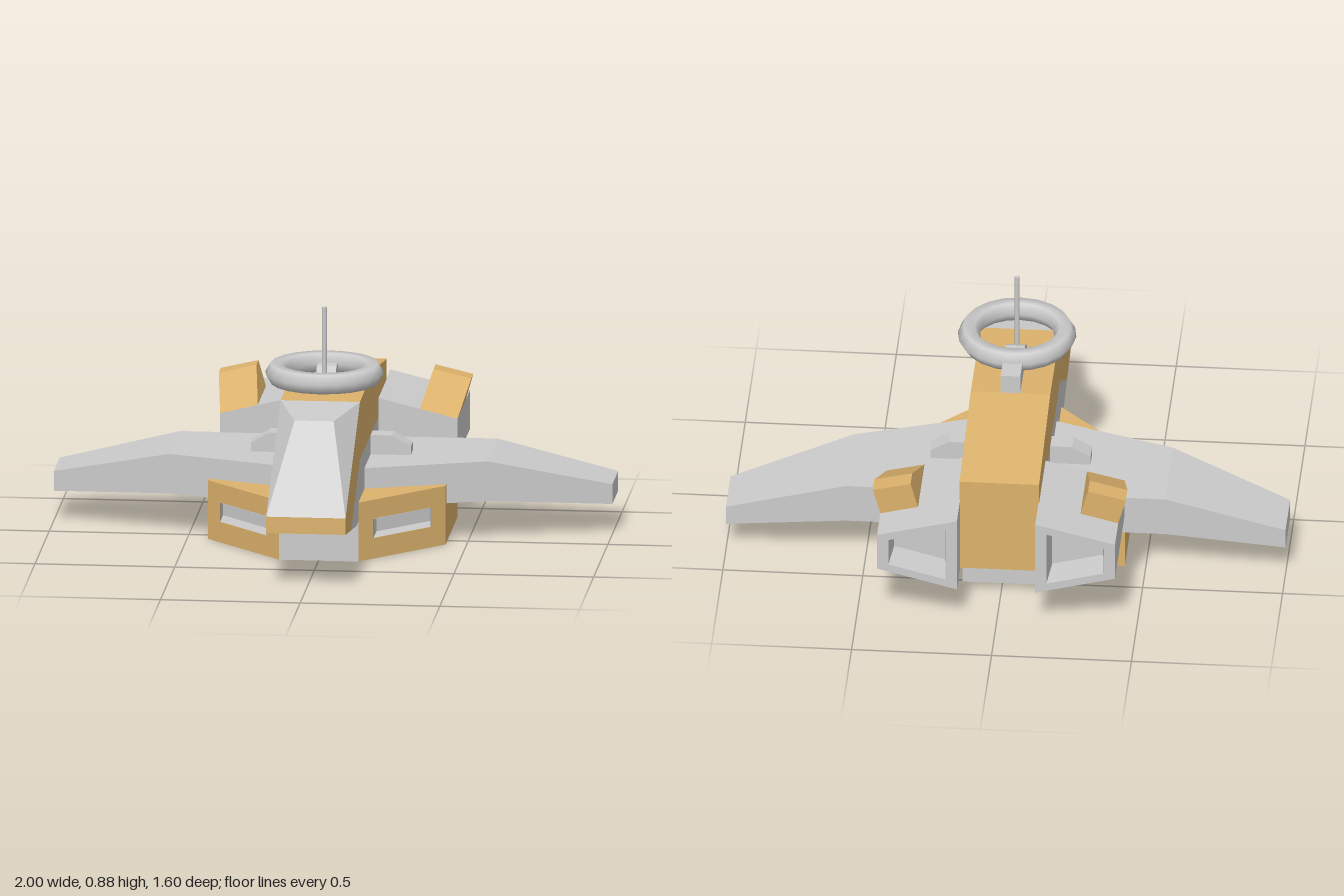
import * as THREE from 'three';

const grey = new THREE.MeshStandardMaterial({ color: 0xcccccc, flatShading: true });
const greyOpen = new THREE.MeshStandardMaterial({ color: 0xcccccc, flatShading: true, side: THREE.DoubleSide });
const greySmooth = new THREE.MeshStandardMaterial({ color: 0xcccccc });
const gold = new THREE.MeshStandardMaterial({ color: 0xdcb26c, flatShading: true });

// Skins a row of equal-sized cross-sections; closes both ends on request.
// The winding is turned outward by the sign of the enclosed volume.
function loft(sections, capStart = true, capEnd = true) {
  const tris = [];
  const fan = (s, flip) => {
    for (let i = 1; i < s.length - 1; i++) tris.push(flip ? [s[0], s[i + 1], s[i]] : [s[0], s[i], s[i + 1]]);
  };
  for (let k = 0; k < sections.length - 1; k++) {
    const a = sections[k], b = sections[k + 1], n = a.length;
    for (let i = 0; i < n; i++) {
      const j = (i + 1) % n;
      tris.push([a[i], a[j], b[j]], [a[i], b[j], b[i]]);
    }
  }
  if (capStart) fan(sections[0], true);
  if (capEnd) fan(sections[sections.length - 1], false);
  const vec = p => new THREE.Vector3(...p);
  const volume = tris.reduce((v, [a, b, c]) => v + vec(a).dot(vec(b).cross(vec(c))), 0);
  if (volume < 0) tris.forEach(t => t.reverse());
  const geo = new THREE.BufferGeometry();
  geo.setAttribute('position', new THREE.Float32BufferAttribute(tris.flat(2), 3));
  geo.computeVertexNormals();
  return geo;
}

// Side profile given as [z, y], extruded across the width and centred on x = 0.
function sideExtrude(profile, width) {
  const shape = new THREE.Shape(profile.map(p => new THREE.Vector2(...p)));
  return new THREE.ExtrudeGeometry(shape, { depth: width, bevelEnabled: false })
    .rotateY(-Math.PI / 2).translate(width / 2, 0, 0);
}

export function createModel() {
  const model = new THREE.Group();
  model.name = 'spacecraft';
  const add = (name, geo, mat) => {
    const mesh = new THREE.Mesh(geo, mat);
    mesh.name = name;
    model.add(mesh);
    return mesh;
  };

  // Fuselage: upper shell wrapped over the lower flank panels
  add('fuselage', sideExtrude([
    [0.8, 0.205], [0.8, 0.265], [0.29, 0.57], [-0.15, 0.575], [-0.65, 0.505],
    [-0.65, 0.145], [-0.36, 0.145], [-0.36, 0.36], [0.29, 0.36], [0.6, 0.174],
  ], 0.284), gold);
  add('flankPanels', sideExtrude([
    [0.6, 0.174], [0.29, 0.36], [-0.36, 0.36], [-0.36, 0.145], [0.41, 0.145],
  ], 0.284), grey);

  // Cockpit glazing, narrowing toward its upper front edge
  add('canopy', loft([-1, 1].map(s => [
    [s * 0.142, 0.265, 0.8], [s * 0.07, 0.55, 0.51], [s * 0.142, 0.57, 0.29],
  ])), grey);

  // Belly block between the side pods
  add('belly', new THREE.BoxGeometry(0.284, 0.145, 0.86).translate(0, 0.0725, -0.08), grey);

  // Dorsal housing, mast and ring
  add('dorsalHousing', sideExtrude([
    [0.14, 0.56], [0.14, 0.6], [0.06, 0.645], [-0.15, 0.645], [-0.15, 0.56],
  ], 0.07), grey);
  add('mast', new THREE.CylinderGeometry(0.009, 0.009, 0.31, 8).translate(0, 0.725, 0.145), greySmooth);
  add('ring', new THREE.TorusGeometry(0.172, 0.04, 6, 20).rotateX(Math.PI / 2).translate(0, 0.64, 0.143), greySmooth);

  for (const s of [1, -1]) {
    const side = s > 0 ? 'left' : 'right';

    // Wing: level inner part, drooping tapered outer part
    const wingRib = (x, y0, y1, z0, z1) =>
      [[s * x, y0, z0], [s * x, y1, z0], [s * x, y1, z1], [s * x, y0, z1]];
    add(side + 'Wing', loft([
      wingRib(0.13, 0.145, 0.29, 0.135, -0.366),
      wingRib(0.57, 0.145, 0.29, -0.015, -0.366),
      wingRib(1, 0.11, 0.182, -0.16, -0.366),
    ]), grey);

    // Side pod with an intake sunk into its slanted front
    const slantZ = x => 0.35 - (x - 0.14) * 1.018;
    const podRing = (x0, x1, y0, y1, zOf) =>
      [[x0, y0], [x1, y0], [x1, y1], [x0, y1]].map(([x, y]) => [s * x, y, zOf(x)]);
    const mouth = podRing(0.19, 0.378, 0.075, 0.146, slantZ);
    const throat = podRing(0.19, 0.378, 0.075, 0.146, x => slantZ(x) - 0.1);
    add(side + 'Pod', loft([
      podRing(0.14, 0.425, 0, 0.215, () => -0.36),
      podRing(0.14, 0.425, 0, 0.215, slantZ),
      mouth, throat,
    ], true, false), gold);
    // Grey lining, a hair inside the opening
    const inset = ring => ring.map(([x, y, z]) => [
      s * 0.284 + (x - s * 0.284) * 0.985, 0.1105 + (y - 0.1105) * 0.98, z]);
    add(side + 'Intake', loft([inset(mouth), inset(throat)], false, true), greyOpen);

    // Engine nacelle with a hollow exhaust
    const nacelleRing = (z, k) =>
      [[0.14, 0.145], [0.14, 0.43], [0.425, 0.36], [0.425, 0.218]].map(([x, y]) =>
        [s * (0.282 + (x - 0.282) * k), 0.288 + (y - 0.288) * k, z]);
    add(side + 'Nacelle', loft([
      nacelleRing(-0.362, 1), nacelleRing(-0.798, 1), nacelleRing(-0.798, 0.72), nacelleRing(-0.68, 0.64),
    ]), grey);

    // Wedge fairing leaning outward on the nacelle
    const fairingRib = (x, y) => [[-0.362, 0], [-0.58, 1], [-0.652, 1], [-0.652, 0]]
      .map(([z, h]) => [s * (x + 0.027 * h), y + 0.096 * h, z]);
    add(side + 'Fairing', loft([fairingRib(0.29, 0.392), fairingRib(0.425, 0.36)]), gold);

    // Small chamfered strut where the wing meets the fuselage
    const strutRib = z => [[0.13, 0.28], [0.13, 0.36], [0.22, 0.36], [0.286, 0.322], [0.286, 0.28]]
      .map(([x, y]) => [s * x, y, z]);
    add(side + 'Strut', loft([strutRib(-0.083), strutRib(-0.153)]), grey);
  }
  return model;
}
